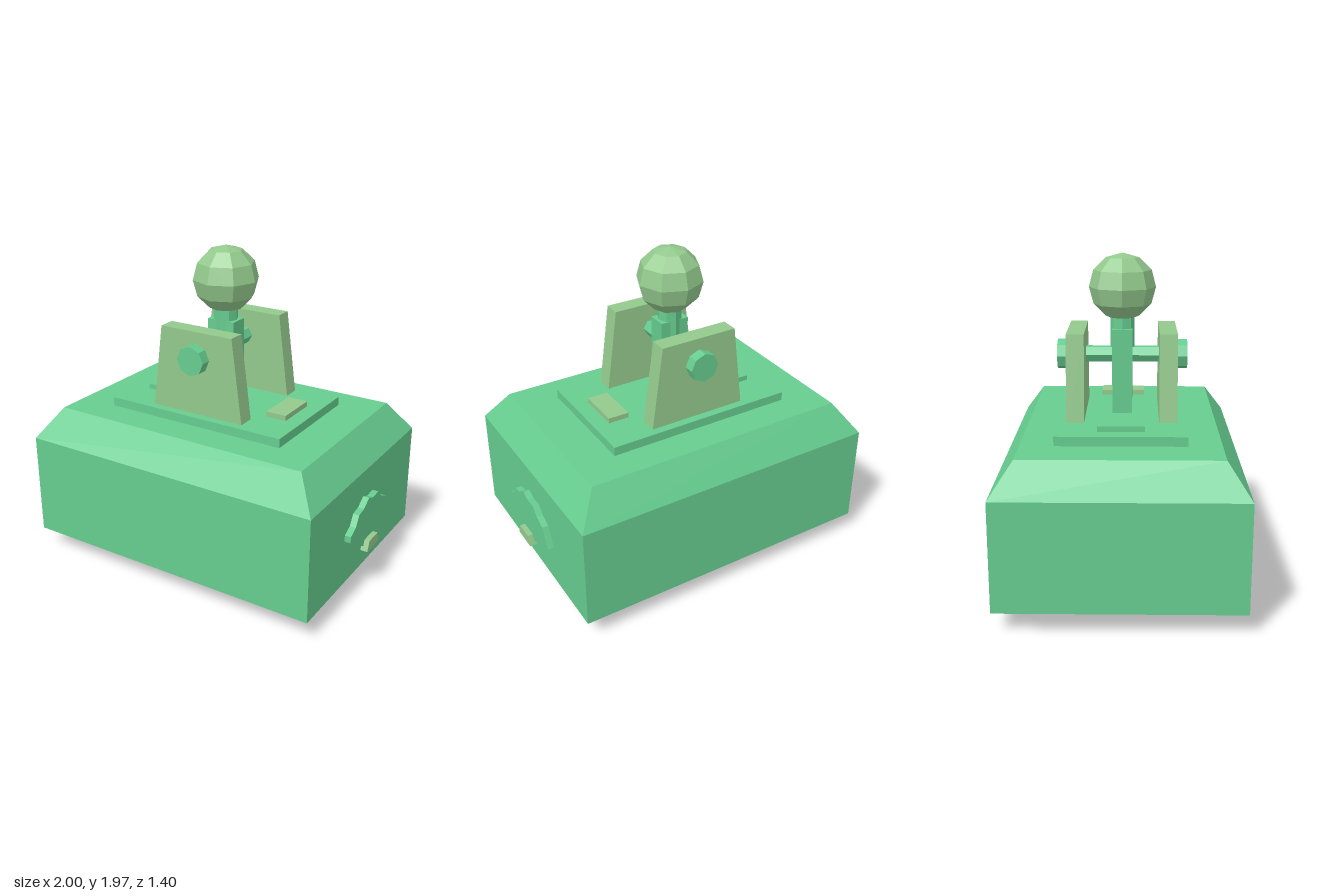
import * as THREE from 'three';

export function createModel() {
  const model = new THREE.Group();
  const green = new THREE.MeshStandardMaterial({ color: 0x66cc8f, flatShading: true });
  green.name = 'mint green';
  const olive = new THREE.MeshStandardMaterial({ color: 0x93c98d, flatShading: true });
  olive.name = 'pale olive';
  const CX = -0.035; // shared axis of the housing and lever

  function add(name, geometry, material, x = CX, y = 0, z = 0) {
    const mesh = new THREE.Mesh(geometry, material);
    mesh.name = name;
    mesh.position.set(x, y, z);
    model.add(mesh);
    return mesh;
  }
  const box = (w, h, d) => new THREE.BoxGeometry(w, h, d);
  const extrude = (points, depth) => new THREE.ExtrudeGeometry(
    new THREE.Shape(points.map(([x, y]) => new THREE.Vector2(x, y))),
    { depth, bevelEnabled: false });
  // cylinder lying along z
  const rod = (r, length, sides, start = 0) =>
    new THREE.CylinderGeometry(r, r, length, sides, 1, false, start).rotateX(Math.PI / 2);

  // Housing with a sloped upper rim
  add('housing', box(1.93, 0.64, 1.4), green, CX, 0.45);
  const rim = box(1.93, 0.19, 1.4);
  const p = rim.attributes.position;
  for (let i = 0; i < p.count; i++) {
    if (p.getY(i) > 0) {
      p.setX(i, Math.sign(p.getX(i)) * 0.832);
      p.setZ(i, Math.sign(p.getZ(i)) * 0.567);
    }
  }
  add('slopedRim', rim, green, CX, 0.865);

  // Foot below
  add('foot', rod(0.125, 0.4, 8), green, CX, 0.127);

  // Top plate with two pads
  add('topPlate', box(1.18, 0.055, 0.75), green, CX, 0.9875);
  add('rightPad', box(0.13, 0.034, 0.27), green, CX - 0.43, 1.03);
  add('leftPad', box(0.13, 0.034, 0.27), olive, CX + 0.43, 1.03);

  // Bracket cheeks and pivot caps
  const cheek = extrude([[-0.31, 1.012], [0.31, 1.012], [0.242, 1.525], [-0.242, 1.525]], 0.105);
  cheek.translate(0, 0, -0.0525);
  for (const s of [-1, 1]) {
    const side = s > 0 ? 'front' : 'back';
    add(side + 'Bracket', cheek, olive, CX, 0, s * 0.272);
    add(side + 'PivotCap', rod(0.09, 0.07, 8), green, CX, 1.365, s * 0.355);
  }
  add('pivotRod', rod(0.052, 0.64, 6, Math.PI / 2), green, CX, 1.365);

  // Lever and ball knob
  add('leverArm', box(0.18, 0.515, 0.12), green, CX, 1.268);
  add('leverNeck', new THREE.CylinderGeometry(0.073, 0.073, 0.21, 8), green, CX, 1.505);
  add('ballKnob', new THREE.SphereGeometry(0.2, 8, 6), olive, CX, 1.77);

  // Fan-shaped badge with clasp on the left side (outline as -z, y)
  const fan = [[-0.26, 0.42], [0, 0.303], [0.07, 0.303], [0.286, 0.39], [0.224, 0.51],
    [0.155, 0.54], [0.105, 0.59], [0.03, 0.585], [-0.03, 0.607], [-0.095, 0.565],
    [-0.16, 0.553], [-0.198, 0.49], [-0.26, 0.46]];
  fan[1] = [-0.07, 0.303];
  add('fanBadge', extrude(fan, 0.04).rotateY(Math.PI / 2), green, 0.928);
  const clasp = [[-0.083, 0.28], [0.083, 0.28], [0.058, 0.343], [-0.058, 0.343]];
  add('badgeClasp', extrude(clasp, 0.045).rotateY(Math.PI / 2), olive, 0.955);

  return model;
}
